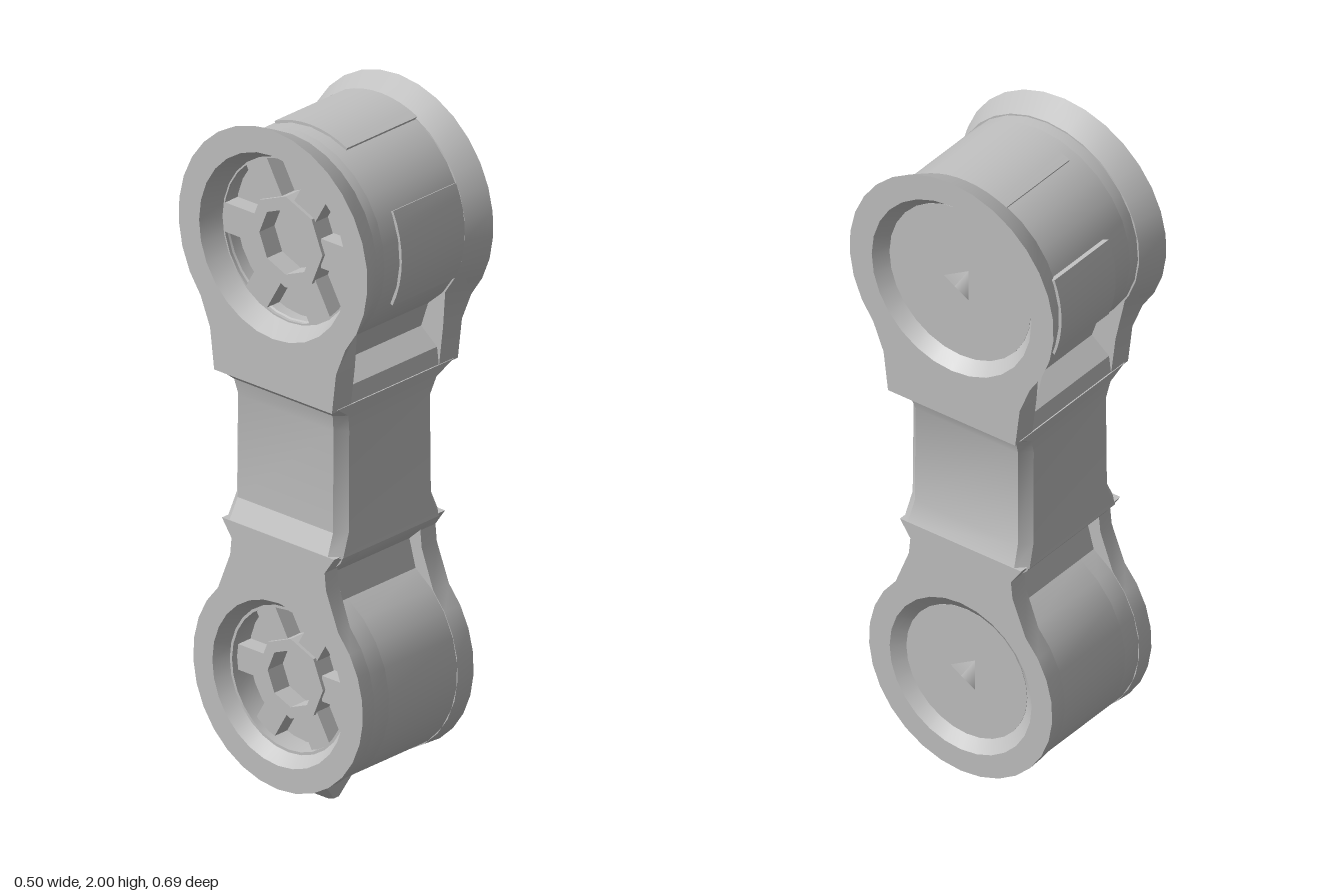
import * as THREE from 'three';
import { toCreasedNormals } from 'three/addons/utils/BufferGeometryUtils.js';

const metal = new THREE.MeshStandardMaterial({ color: 0xc0c0c0 });
metal.name = 'grey metal';

// Round head with a tapering neck; s = 1 puts the neck below, -1 above
function outline(r, startDeg, neck, s, hole = 0) {
  const pts = [];
  const n = 22, a0 = THREE.MathUtils.degToRad(startDeg), a1 = Math.PI - a0;
  for (let i = 0; i <= n; i++) {
    const a = a0 + (a1 - a0) * i / n;
    pts.push(new THREE.Vector2(r * Math.cos(a), s * r * Math.sin(a)));
  }
  for (const [z, drop] of neck) pts.push(new THREE.Vector2(-z, -s * drop));
  for (const [z, drop] of [...neck].reverse()) pts.push(new THREE.Vector2(z, -s * drop));
  if (s < 0) pts.reverse();
  const shape = new THREE.Shape(pts);
  if (hole) {
    const path = new THREE.Path();
    path.absarc(0, 0, hole, 0, Math.PI * 2, true);
    shape.holes.push(path);
  }
  return shape;
}

// Extrude a side outline along x; optionally shrink the head and its hole at the end nearest x = 0
function prism(name, shape, x0, x1, y, hole = 0, outerScale = 1, holeScale = 1) {
  const g = new THREE.ExtrudeGeometry(shape, { depth: x1 - x0, bevelEnabled: false, curveSegments: 14 });
  g.rotateY(Math.PI / 2).translate(x0, 0, 0);
  const inner = Math.abs(x0) < Math.abs(x1) ? x0 : x1;
  const p = g.attributes.position;
  for (let i = 0; i < p.count; i++) {
    const r = Math.hypot(p.getY(i), p.getZ(i));
    if (Math.abs(p.getX(i) - inner) > 1e-4 || r > 0.36) continue;
    const k = r < hole + 0.005 ? holeScale : outerScale;
    p.setY(i, p.getY(i) * k);
    p.setZ(i, p.getZ(i) * k);
  }
  const m = new THREE.Mesh(toCreasedNormals(g, 0.5), metal);
  m.name = name;
  m.position.y = y;
  return m;
}

// Curved pad on a drum; angles in degrees from the back (0) over the top (90) to the front (180)
function drumPad(name, r0, r1, from, to, x0, x1, y) {
  const a = THREE.MathUtils.degToRad(from), b = THREE.MathUtils.degToRad(to);
  const shape = new THREE.Shape();
  shape.absarc(0, 0, r1, a, b, false);
  shape.absarc(0, 0, r0, b, a, true);
  const g = new THREE.ExtrudeGeometry(shape, { depth: x1 - x0, bevelEnabled: false, curveSegments: 4 });
  g.rotateY(Math.PI / 2).translate(x0, 0, 0);
  const m = new THREE.Mesh(toCreasedNormals(g, 0.4), metal);
  m.name = name;
  m.position.y = y;
  return m;
}

// Stack of chamfered rectangles, each [y, centreX, halfX, halfZ, chamfer]
function loft(name, sections) {
  const pos = [], idx = [];
  for (const [y, cx, hx, hz, c] of sections) {
    const ring = [[hx, hz - c], [hx - c, hz], [c - hx, hz], [-hx, hz - c],
      [-hx, c - hz], [c - hx, -hz], [hx - c, -hz], [hx, c - hz]];
    for (const [x, z] of ring) pos.push(cx + x, y, z);
  }
  const top = (sections.length - 1) * 8;
  for (let s = 0; s < top; s += 8) {
    for (let i = 0; i < 8; i++) {
      const j = (i + 1) % 8;
      idx.push(s + i, s + 8 + i, s + j, s + j, s + 8 + i, s + 8 + j);
    }
  }
  for (let i = 1; i < 7; i++) {
    idx.push(0, i, i + 1);
    idx.push(top, top + i + 1, top + i);
  }
  const g = new THREE.BufferGeometry();
  g.setAttribute('position', new THREE.Float32BufferAttribute(pos, 3));
  g.setIndex(idx);
  const m = new THREE.Mesh(toCreasedNormals(g, 0.4), metal);
  m.name = name;
  return m;
}

// Wide hollow hub with radial blocks, set in the right-hand recess
function spokedWheel(name, r, x, y) {
  const wheel = new THREE.Group();
  wheel.name = name;
  const ring = new THREE.Shape();
  ring.absarc(0, 0, r * 0.56, 0, Math.PI * 2, false);
  const bore = new THREE.Path();
  bore.absarc(0, 0, r * 0.4, 0, Math.PI * 2, true);
  ring.holes.push(bore);
  const hub = new THREE.ExtrudeGeometry(ring, { depth: 0.06, bevelEnabled: false, curveSegments: 4 });
  hub.rotateY(Math.PI / 2).translate(-0.06, 0, 0);
  const hubMesh = new THREE.Mesh(toCreasedNormals(hub, 0.4), metal);
  hubMesh.name = 'hub';
  wheel.add(hubMesh);
  for (let i = 0; i < 6; i++) {
    const arm = new THREE.Group();
    arm.name = 'spoke';
    const block = new THREE.Mesh(new THREE.BoxGeometry(0.05, r * 0.5, r * 0.36), metal);
    block.name = 'spokeBlock';
    block.position.set(-0.025, r * 0.75, 0);
    arm.add(block);
    arm.rotation.x = (i + 0.5) * Math.PI / 3;
    wheel.add(arm);
  }
  wheel.position.set(x, y, 0);
  return wheel;
}

// Small three-sided point in the middle of the left-hand recess
function pin(x, y) {
  const m = new THREE.Mesh(new THREE.ConeGeometry(0.055, 0.025, 3), metal);
  m.name = 'centrePin';
  m.rotation.z = -Math.PI / 2;
  m.position.set(x + 0.0125, y, 0);
  return m;
}

// Flat floor closing the left-hand recess
function recessFloor(name, r, x0, x1, y) {
  const m = new THREE.Mesh(new THREE.CylinderGeometry(r, r, x1 - x0, 28), metal);
  m.name = name;
  m.rotation.z = -Math.PI / 2;
  m.position.set((x0 + x1) / 2, y, 0);
  return m;
}

export function createModel() {
  const model = new THREE.Group();
  model.name = 'jointedLink';

  // Upper joint: drum between two flared cheek plates
  const upper = new THREE.Group();
  upper.name = 'upperJoint';
  const uy = 1.655, uNeck = [[0.23, 0.305], [0.215, 0.425]];
  const uCore = [[0.15, 0.325], [0.208, 0.37], [0.215, 0.425]];
  const uPlate = outline(0.345, -40, uNeck, 1, 0.27);
  upper.add(
    prism('upperLeftCheek', uPlate, 0.175, 0.25, uy, 0.27, 0.9, 0.78),
    prism('upperRightCheek', uPlate, -0.25, -0.175, uy, 0.27, 0.9, 0.86),
    prism('upperDrum', outline(0.306, -55, uCore, 1), -0.14, 0.19, uy),
    prism('upperDrumShell', outline(0.306, -55, uCore, 1, 0.235), -0.19, -0.14, uy),
    recessFloor('upperRecessFloor', 0.239, 0.18, 0.212, uy),
    drumPad('topPad', 0.29, 0.313, 65, 115, -0.1, 0.18, uy),
    drumPad('frontPad', 0.29, 0.314, 154, 207, -0.08, 0.17, uy),
    drumPad('backPad', 0.29, 0.326, -22, 22, -0.05, 0.19, uy),
    spokedWheel('upperSpokedWheel', 0.24, -0.14, uy),
    pin(0.212, uy),
  );

  // Lower joint: slightly smaller, with nearly flush cheeks
  const lower = new THREE.Group();
  lower.name = 'lowerJoint';
  const ly = 0.36, lNeck = [[0.175, 0.33], [0.17, 0.38], [0.205, 0.43]];
  const lCore = [[0.13, 0.345], [0.19, 0.4], [0.205, 0.43]];
  const lPlate = outline(0.31, -45, lNeck, -1, 0.24);
  lower.add(
    prism('lowerLeftCheek', lPlate, 0.15, 0.21, ly, 0.24, 0.99, 0.68),
    prism('lowerRightCheek', lPlate, -0.23, -0.18, ly, 0.24, 0.99, 0.86),
    prism('lowerDrum', outline(0.305, -60, lCore, -1), -0.12, 0.165, ly),
    prism('lowerDrumShell', outline(0.305, -60, lCore, -1, 0.205), -0.19, -0.12, ly),
    recessFloor('lowerRecessFloor', 0.204, 0.155, 0.183, ly),
    spokedWheel('lowerSpokedWheel', 0.21, -0.12, ly),
    pin(0.183, ly),
    loft('bottomNub', [[0, -0.08, 0.02, 0.075, 0.01], [0.065, -0.085, 0.07, 0.09, 0.01]]),
  );

  // Chamfered bar linking the joints, flared at both ends
  const bar = loft('linkBar', [
    [0.785, -0.01, 0.22, 0.21, 0.03],
    [0.85, -0.008, 0.193, 0.204, 0.03],
    [1.15, -0.008, 0.19, 0.203, 0.03],
    [1.2, -0.004, 0.205, 0.21, 0.03],
    [1.235, 0, 0.25, 0.218, 0.02],
  ]);

  model.add(upper, lower, bar);
  return model;
}
